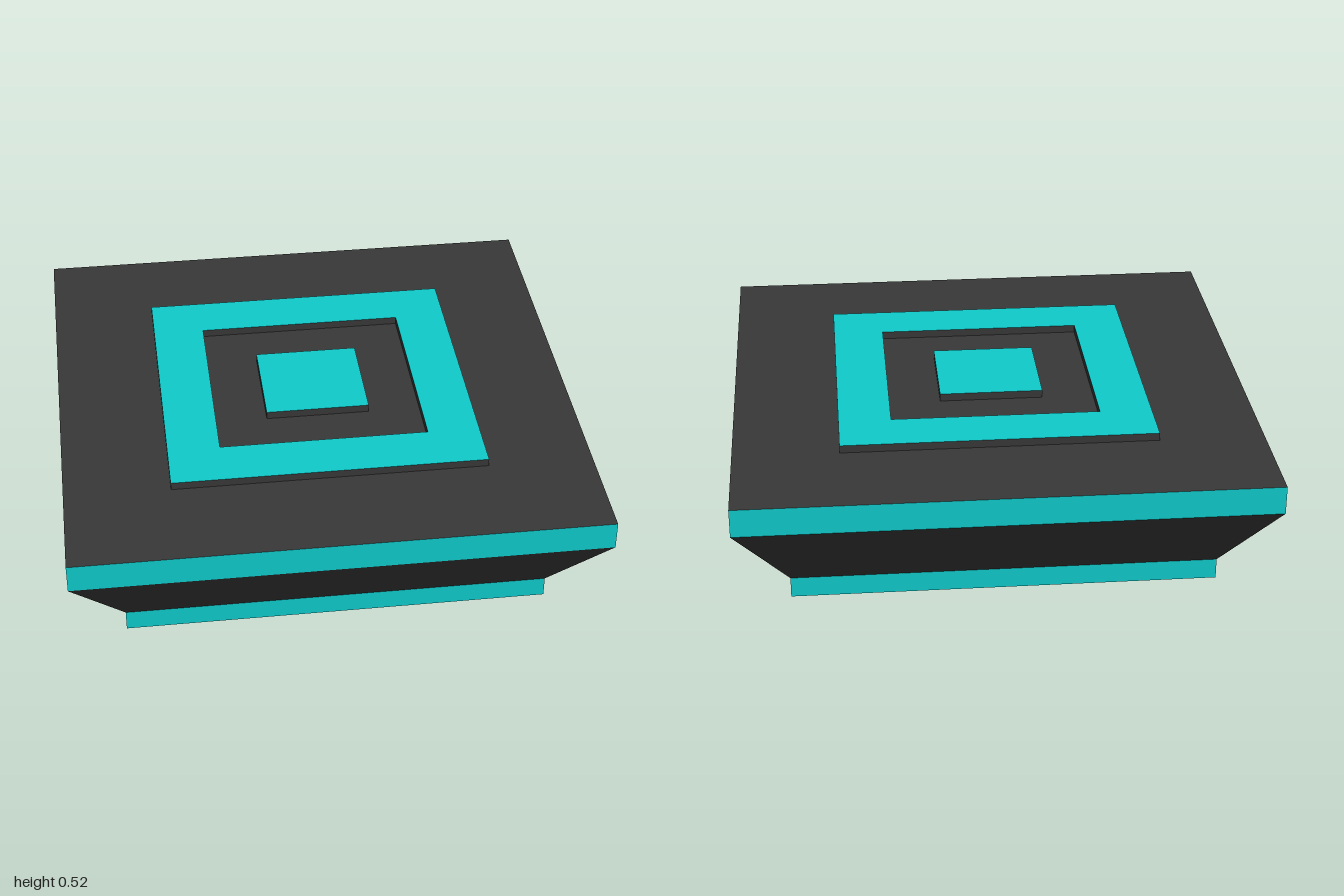
import * as THREE from 'three';

const cyan = new THREE.MeshStandardMaterial({ color: 0x0fcccc, flatShading: true });
const dark = new THREE.MeshStandardMaterial({ color: 0x383838, flatShading: true });

// Four-sided band of walls between two squares, given by half widths
function walls(name, bottom, top, y0, y1, material) {
  const geo = new THREE.CylinderGeometry(top * Math.SQRT2, bottom * Math.SQRT2, y1 - y0, 4, 1, true);
  geo.rotateY(Math.PI / 4).translate(0, (y0 + y1) / 2, 0);
  const mesh = new THREE.Mesh(geo, material);
  mesh.name = name;
  return mesh;
}

// Horizontal square sheet facing up (1) or down (-1)
function sheet(name, half, y, facing) {
  const geo = new THREE.PlaneGeometry(half * 2, half * 2);
  geo.rotateX(-facing * Math.PI / 2).translate(0, y, 0);
  const mesh = new THREE.Mesh(geo, dark);
  mesh.name = name;
  return mesh;
}

function square(Type, h) {
  return new Type([[-h, -h], [h, -h], [h, h], [-h, h]].map(([x, y]) => new THREE.Vector2(x, y)));
}

// Raised square with a cyan face and dark edges, optionally hollow
function inlay(name, half, hole, y0, y1) {
  const shape = square(THREE.Shape, half);
  if (hole) shape.holes.push(square(THREE.Path, hole));
  const geo = new THREE.ExtrudeGeometry(shape, { depth: y1 - y0, bevelEnabled: false });
  geo.rotateX(-Math.PI / 2).translate(0, y0, 0);
  const mesh = new THREE.Mesh(geo, [cyan, dark]);
  mesh.name = name;
  return mesh;
}

export function createModel() {
  const model = new THREE.Group();
  model.name = 'squarePlatform';
  model.add(
    // Foot and flared body
    sheet('underside', 0.8, 0, -1),
    walls('footBand', 0.8, 0.8, 0, 0.08, cyan),
    walls('flaredBody', 0.8, 1, 0.08, 0.38, dark),
    // Deck
    walls('deckBand', 1, 1, 0.38, 0.49, cyan),
    sheet('deckTop', 1, 0.49, 1),
    // Raised target pattern
    inlay('outerRing', 0.6, 0.4, 0.49, 0.52),
    inlay('centerPad', 0.2, 0, 0.49, 0.52)
  );
  return model;
}
